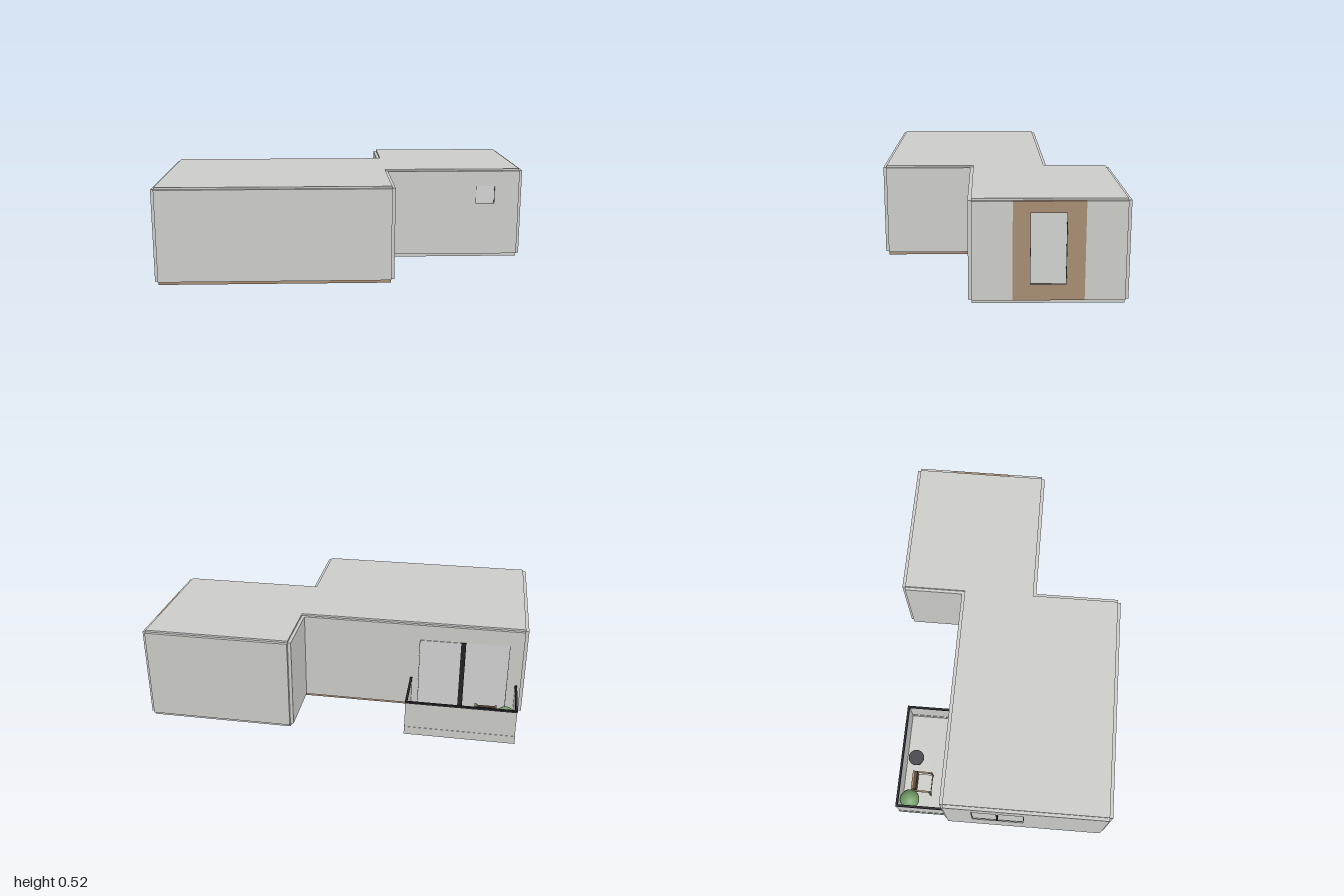
import * as THREE from 'three';

const mat = (name, color) => {
  const m = new THREE.MeshStandardMaterial({ color });
  m.name = name;
  return m;
};

export function createModel() {
  const plaster = mat('pale grey plaster', 0xcdcdca);
  const timber = mat('tan timber', 0xa88e74);
  const glass = mat('pale glass', 0xd2d4d2);
  const metal = mat('black metal', 0x242428);
  const stone = mat('dark table', 0x47464a);
  const brown = mat('dark brown cushion', 0x5a4534);
  const leaf = mat('leaf green', 0x74a069);

  const root = new THREE.Group();
  root.name = 'house';

  const add = (name, geo, material, parent, x = 0, y = 0, z = 0) => {
    const m = new THREE.Mesh(geo, material);
    m.name = name;
    m.position.set(x, y, z);
    parent.add(m);
    return m;
  };
  // Box given by its minimum and maximum corners
  const box = (name, material, a, b, parent = root) => add(name,
    new THREE.BoxGeometry(b[0] - a[0], b[1] - a[1], b[2] - a[2]), material, parent,
    (a[0] + b[0]) / 2, (a[1] + b[1]) / 2, (a[2] + b[2]) / 2);

  const Y0 = 0.032, Y1 = 0.515, T = 0.017;

  // Floor and roof slabs of the two wings
  const wings = [
    { n: 'main', x: [-0.983, 0.22], z: [-0.265, 0.6], floor: timber },
    { n: 'side', x: [0.22, 0.983], z: [-0.605, 0.122], floor: plaster },
  ];
  for (const w of wings) {
    box(w.n + 'Floor', w.floor, [w.x[0], 0.013, w.z[0]], [w.x[1], Y0, w.z[1]]);
    box(w.n + 'Roof', plaster, [w.x[0], Y1, w.z[0]], [w.x[1], 0.525, w.z[1]]);
  }

  // One rotated group per compass side: local x runs along the wall, local z points outward
  const side = (name, turn) => {
    const g = new THREE.Group();
    g.name = name;
    g.rotation.y = turn * Math.PI / 2;
    root.add(g);
    return g;
  };
  const front = side('frontSide', 0), left = side('leftSide', 1);
  const back = side('backSide', 2), right = side('rightSide', -1);

  const rect = (path, u0, u1, v0, v1) => path
    .moveTo(u0, v0).lineTo(u1, v0).lineTo(u1, v1).lineTo(u0, v1).closePath();

  // Wall plate with an optional rectangular opening
  const wall = (name, parent, d, u0, u1, hole, material = plaster) => {
    const s = new THREE.Shape();
    rect(s, u0, u1, Y0, Y1);
    if (hole) {
      const h = new THREE.Path();
      rect(h, ...hole);
      s.holes.push(h);
    }
    add(name, new THREE.ExtrudeGeometry(s, { depth: T, bevelEnabled: false }), material, parent, 0, 0, d);
  };
  // Pane with a thin dark frame
  const pane = (name, parent, d, [u0, u1, v0, v1], f = 0.003) => {
    box(name + 'Glass', glass, [u0, v0, d + 0.005], [u1, v1, d + 0.011], parent);
    const s = new THREE.Shape(), h = new THREE.Path();
    rect(s, u0, u1, v0, v1);
    rect(h, u0 + f, u1 - f, v0 + f, v1 - f);
    s.holes.push(h);
    add(name + 'Frame', new THREE.ExtrudeGeometry(s, { depth: 0.007, bevelEnabled: false }),
      metal, parent, 0, 0, d + 0.006);
  };

  // Front walls and the small square window
  const small = [0.738, 0.845, 0.328, 0.43];
  wall('mainFrontWall', front, 0.6, -0.983, 0.22);
  wall('sideFrontWall', front, 0.122, 0.22, 0.983, small);
  pane('smallWindow', front, 0.122, small, 0.002);

  // Left walls, with the timber bay and its tall window
  const tall = [0.152, 0.325, 0.11, 0.46];
  wall('mainLeftWall', left, 0.22, -0.6, -0.122);
  wall('sideLeftWallFront', left, 0.983, -0.122, 0.07);
  wall('timberBay', left, 0.983, 0.07, 0.412, tall, timber);
  wall('sideLeftWallBack', left, 0.983, 0.412, 0.605);
  pane('tallWindow', left, 0.983, tall);

  // Back walls and the balcony door
  const door = [0.43, 0.91, 0.035, 0.43];
  wall('mainBackWall', back, 0.265, -0.22, 0.983, door);
  wall('sideBackWall', back, 0.605, -0.983, -0.22);
  pane('balconyDoor', back, 0.265, door, 0.002);
  box('slidingLeaf', glass, [0.435, 0.035, 0.276], [0.665, 0.425, 0.28], back);
  box('doorPost', metal, [0.652, 0.035, 0.272], [0.678, 0.428, 0.285], back);

  // Right walls and the two-part window
  const wide = [-0.12, 0.16, 0.2, 0.43];
  wall('mainRightWall', right, 0.983, -0.265, 0.6, wide);
  wall('sideRightWall', right, -0.22, -0.605, -0.265);
  pane('wideWindow', right, 0.983, wide, 0.002);
  box('windowMullion', metal, [0.012, 0.2, 0.99], [0.022, 0.43, 1.0], right);

  // Balcony: slab, kerb, parapet and handrail on three sides
  const balcony = new THREE.Group();
  balcony.name = 'balcony';
  root.add(balcony);
  const [bx0, bx1, bz0, bz1] = [-0.965, -0.385, -0.553, -0.265];
  box('balconySlab', plaster, [bx0, 0.003, bz0], [bx1, 0.018, bz1], balcony);
  box('balconyBase', plaster, [bx0, 0, bz0], [bx1, 0.014, bz1], balcony);
  const runs = [
    [bx0, bz0, bx1, bz0 + 0.012],
    [bx0, bz0, bx0 + 0.012, bz1 - T],
    [bx1 - 0.012, bz0, bx1, bz1 - T],
  ];
  for (const [x0, z0, x1, z1] of runs) {
    box('balconyKerb', plaster, [x0, 0.018, z0], [x1, 0.045, z1], balcony);
    box('balconyParapet', plaster, [x0 + 0.002, 0.045, z0 + 0.002], [x1 - 0.002, 0.187, z1], balcony);
    box('handrail', metal, [x0, 0.187, z0], [x1, 0.197, z1], balcony);
  }

  // Armchair
  const chair = new THREE.Group();
  chair.name = 'chair';
  balcony.add(chair);
  for (const x of [-0.863, -0.755]) {
    for (const z of [-0.482, -0.387]) box('chairLeg', timber, [x, 0.018, z], [x + 0.009, 0.115, z + 0.009], chair);
    box('chairArm', timber, [x, 0.115, -0.482], [x + 0.009, 0.122, -0.378], chair);
  }
  box('chairSeat', plaster, [-0.854, 0.07, -0.465], [-0.755, 0.085, -0.38], chair);
  box('chairFrontRail', timber, [-0.858, 0.062, -0.384], [-0.75, 0.08, -0.376], chair);
  box('chairBack', brown, [-0.854, 0.085, -0.475], [-0.755, 0.16, -0.457], chair);
  box('chairTopRail', timber, [-0.858, 0.14, -0.484], [-0.75, 0.155, -0.475], chair);

  // Round side table
  add('tableTop', new THREE.CylinderGeometry(0.044, 0.044, 0.008, 32), stone, balcony, -0.665, 0.106, -0.48);
  add('tableStem', new THREE.CylinderGeometry(0.006, 0.006, 0.086, 12), stone, balcony, -0.665, 0.061, -0.48);
  add('tableFoot', new THREE.CylinderGeometry(0.026, 0.026, 0.006, 24), stone, balcony, -0.665, 0.021, -0.48);

  // Potted shrub
  add('plantPot', new THREE.CylinderGeometry(0.034, 0.026, 0.06, 24), stone, balcony, -0.907, 0.048, -0.488);
  add('shrub', new THREE.SphereGeometry(0.054, 24, 16), leaf, balcony, -0.907, 0.12, -0.488);

  return root;
}
